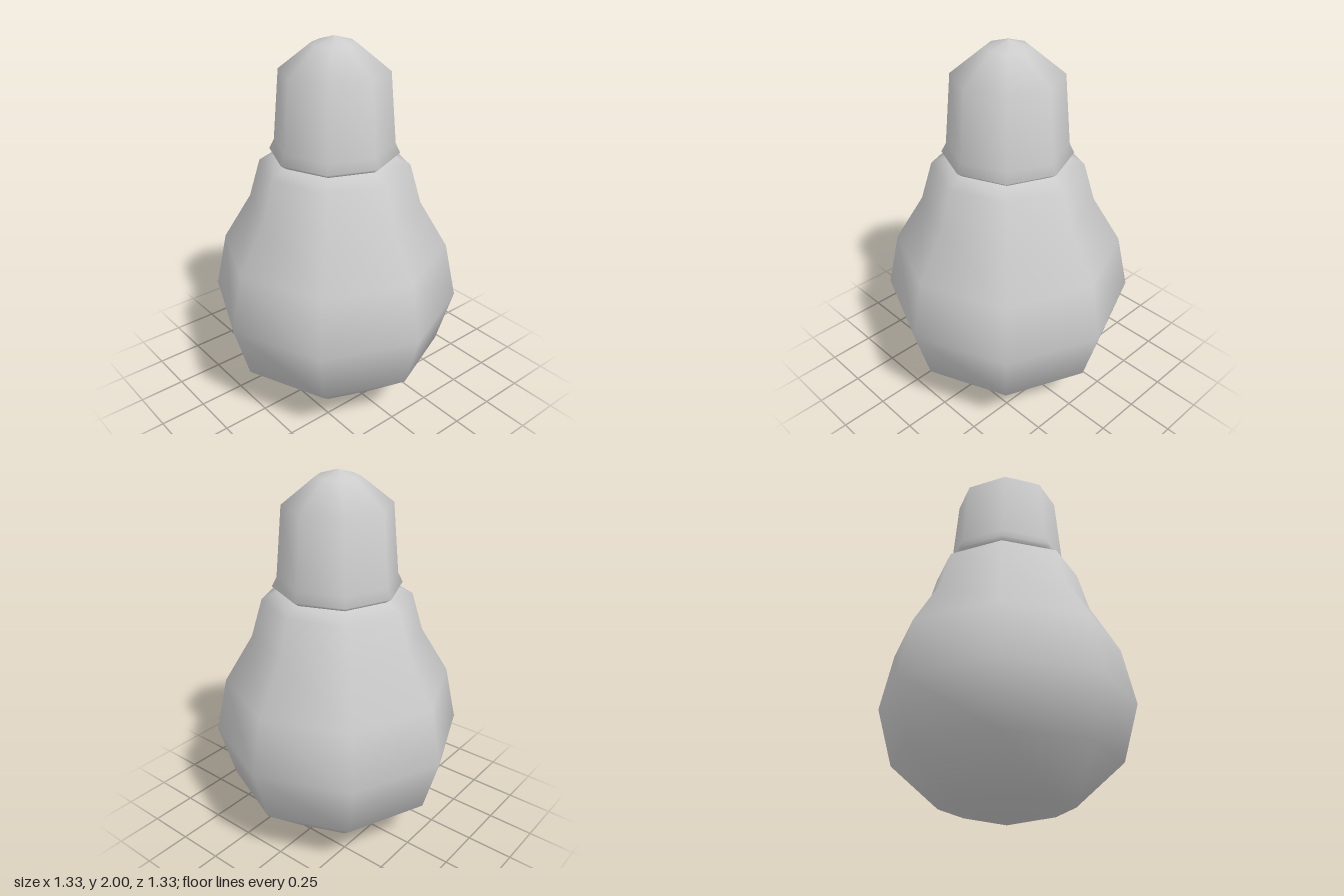
import * as THREE from 'three';

const SIDES = 8;

// Smooth-shaded eight-sided solid of revolution from [radius, height] pairs, bottom to top
function turned(name, profile, material) {
  const points = profile.map(([r, y]) => new THREE.Vector2(r, y));
  const mesh = new THREE.Mesh(new THREE.LatheGeometry(points, SIDES), material);
  mesh.name = name;
  return mesh;
}

export function createModel() {
  const group = new THREE.Group();
  group.name = 'lightBulb';
  const material = new THREE.MeshStandardMaterial({ color: 0xcccccc, side: THREE.DoubleSide });

  // Pear-shaped glass, ending in a sloped shoulder under the cap
  group.add(turned('glassBulb', [
    [0, 0.005], [0.335, 0.085], [0.58, 0.30], [0.665, 0.60], [0.60, 0.90],
    [0.45, 1.15], [0.39, 1.355], [0.305, 1.397],
  ], material));

  // Screw cap with a flared rim and domed tip
  group.add(turned('cap', [
    [0.305, 1.397], [0.335, 1.42], [0.31, 1.47], [0.277, 1.835], [0.11, 1.967], [0, 2],
  ], material));

  return group;
}
